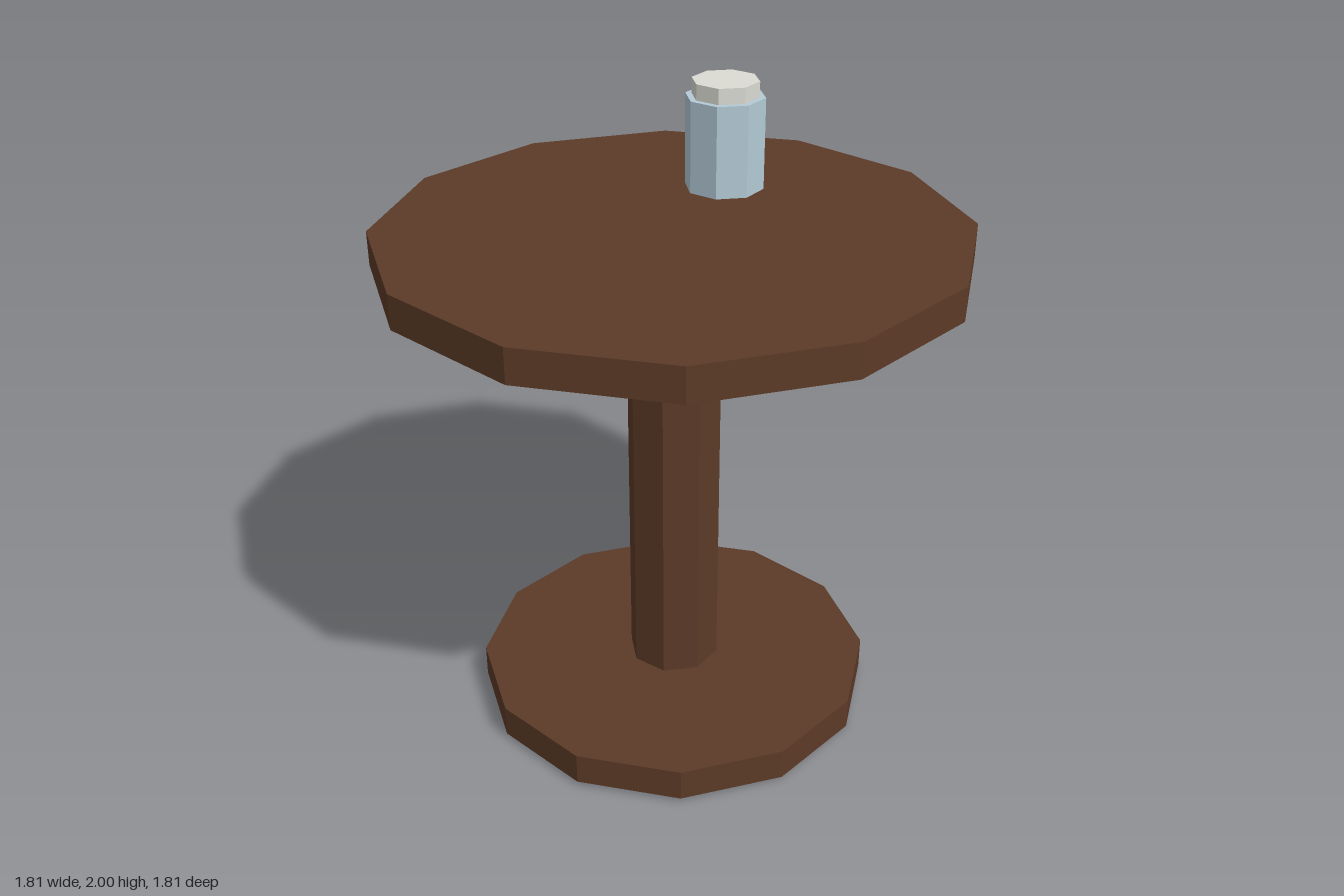
import * as THREE from 'three';

export function createModel() {
  const model = new THREE.Group();
  model.name = 'tableWithMug';

  const flat = (name, color) => {
    const m = new THREE.MeshStandardMaterial({ color, flatShading: true });
    m.name = name;
    return m;
  };
  const wood = flat('darkWood', 0x5c3a27);
  const glass = flat('paleBlueGlass', 0xb4cbd7);
  const foam = flat('foam', 0xdcdcd5);

  // Upright prism from y0 to y1
  const prism = (name, material, radius, sides, y0, y1, parent = model) => {
    const mesh = new THREE.Mesh(
      new THREE.CylinderGeometry(radius, radius, y1 - y0, sides), material);
    mesh.name = name;
    mesh.position.y = (y0 + y1) / 2;
    parent.add(mesh);
  };

  // Pedestal table
  prism('base', wood, 0.647, 12, 0.015, 0.12);
  prism('column', wood, 0.15, 8, 0, 1.56);
  prism('tableTop', wood, 0.907, 12, 1.55, 1.657);

  // Mug with a narrower foam cap
  const mug = new THREE.Group();
  mug.name = 'mug';
  mug.position.set(0.323, 0, -0.218);
  model.add(mug);
  prism('mugBody', glass, 0.127, 8, 1.655, 1.95, mug);
  prism('mugFoam', foam, 0.107, 8, 1.94, 2, mug);

  return model;
}
